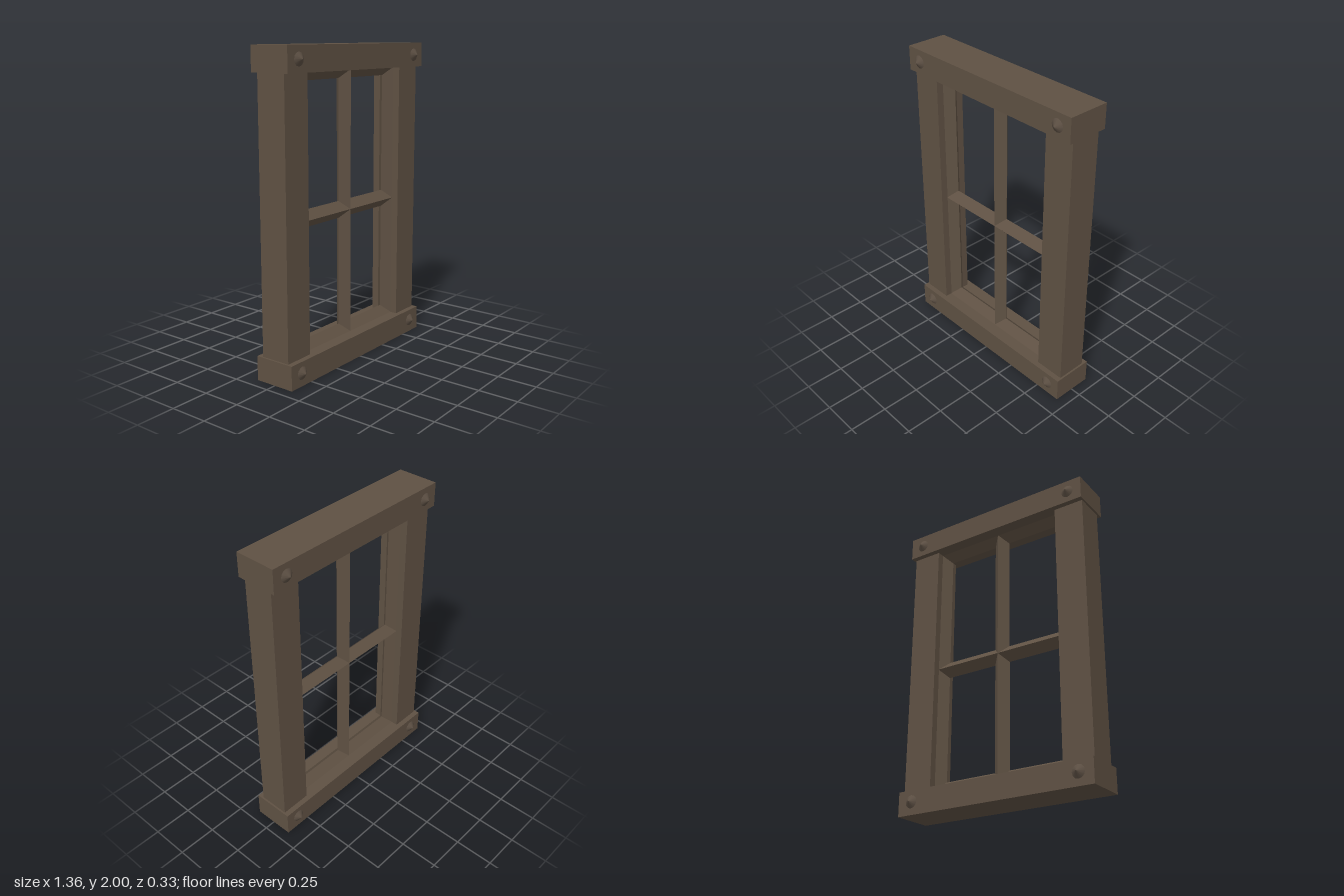
import * as THREE from 'three';

export function createModel() {
  const group = new THREE.Group();
  const wood = new THREE.MeshStandardMaterial({ color: 0x5f5143 });
  wood.name = 'dark brown wood';
  wood.flatShading = true;
  const stud = new THREE.MeshStandardMaterial({ color: 0x5c4f43 });
  stud.name = 'brown stud';

  const add = (name, geometry, material, x, y, z = 0) => {
    const mesh = new THREE.Mesh(geometry, material);
    mesh.name = name;
    mesh.position.set(x, y, z);
    group.add(mesh);
    return mesh;
  };

  // Lintel and sill
  const beam = new THREE.BoxGeometry(1.36, 0.155, 0.272);
  add('sill', beam, wood, 0, 0.0775);
  add('lintel', beam, wood, 0, 1.9225);

  // Side posts
  const post = new THREE.BoxGeometry(0.2, 1.69, 0.2);
  add('leftPost', post, wood, 0.568, 1);
  add('rightPost', post, wood, -0.568, 1);

  // Diamond-section glazing bars; the outer ones sit half inside the frame
  const bar = (length) => new THREE.CylinderGeometry(0.055, 0.055, length, 4);
  const upright = bar(1.69);
  for (const x of [-0.47, 0, 0.47]) add('uprightBar', upright, wood, x, 1);
  const cross = bar(0.94).rotateZ(Math.PI / 2);
  for (const y of [0.155, 0.97, 1.847]) add('crossBar', cross, wood, 0, y);

  // Pointed studs on the front and back of both beams
  const cone = new THREE.ConeGeometry(0.043, 0.03, 12, 1, true).rotateX(Math.PI / 2);
  for (const x of [-0.583, 0.583])
    for (const y of [0.083, 1.922])
      for (const side of [1, -1]) {
        const mesh = add('stud', cone, stud, x, y, side * 0.15);
        if (side < 0) mesh.rotation.y = Math.PI;
      }

  return group;
}
